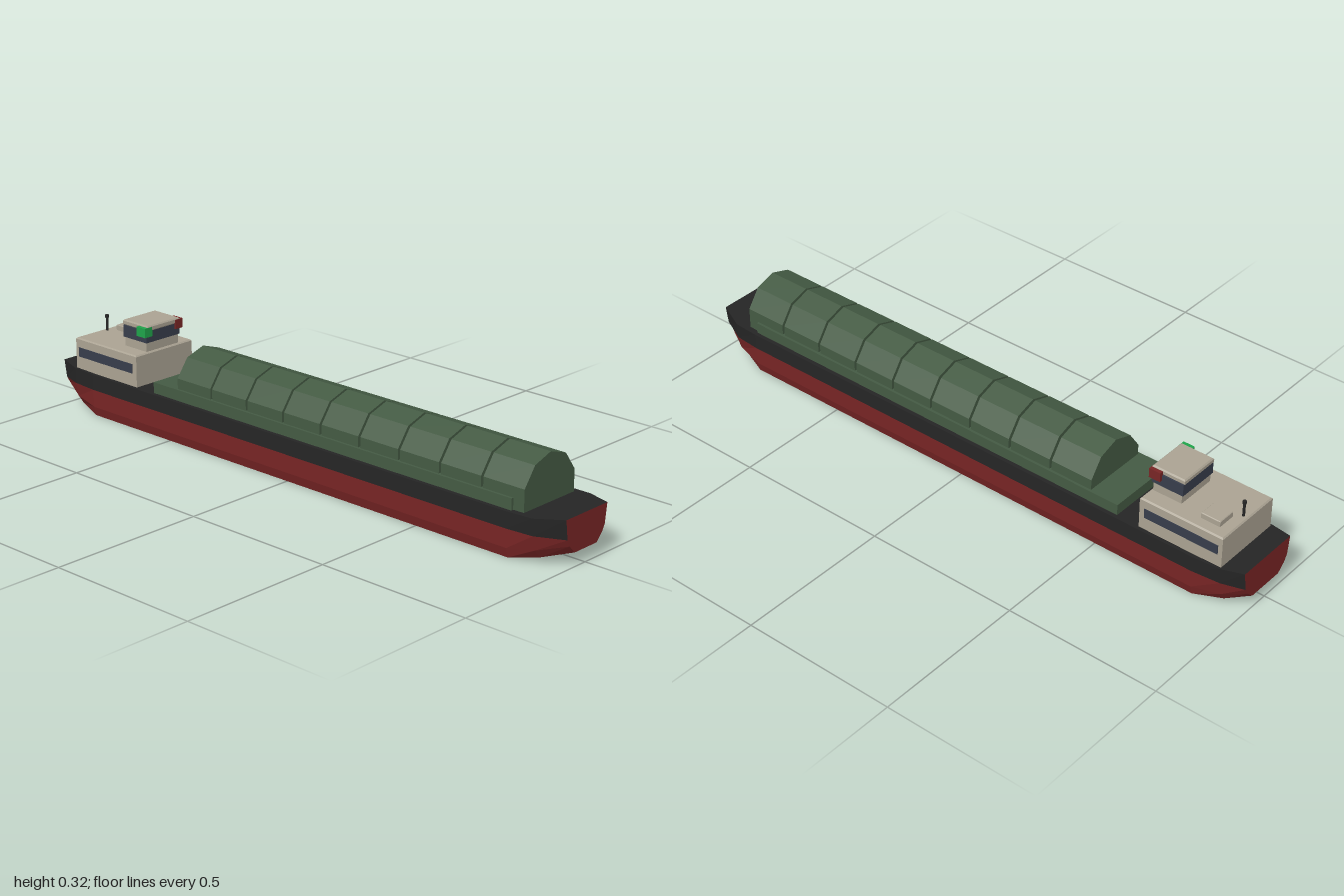
import * as THREE from 'three';

const mat = (name, color) => {
  const m = new THREE.MeshStandardMaterial({ color });
  m.name = name;
  return m;
};

export function createModel() {
  const ship = new THREE.Group();
  ship.name = 'cargoBarge';

  const red = mat('hull red', 0x782525);
  const black = mat('deck black', 0x252525);
  const green = mat('hatch green', 0x445a43);
  const beige = mat('house beige', 0xaaa292);
  const glass = mat('window dark blue', 0x373d4b);
  const signal = mat('signal green', 0x1fa34a);

  const add = (name, geometry, material, x = 0, y = 0, z = 0, parent = ship) => {
    const mesh = new THREE.Mesh(geometry, material);
    mesh.name = name;
    mesh.position.set(x, y, z);
    parent.add(mesh);
    return mesh;
  };

  // Box given by its ranges
  const box = (name, material, x0, x1, y0, y1, z0, z1, parent) =>
    add(name, new THREE.BoxGeometry(x1 - x0, y1 - y0, z1 - z0), material,
      (x0 + x1) / 2, (y0 + y1) / 2, (z0 + z1) / 2, parent);

  // Upright block with small chamfered edges, given by its ranges
  const block = (name, material, x0, x1, y0, y1, z0, z1, b, parent) => {
    const w = (x1 - x0) / 2 - b, d = (z1 - z0) / 2 - b;
    const shape = new THREE.Shape([[-w, -d], [w, -d], [w, d], [-w, d]].map(p => new THREE.Vector2(...p)));
    const geo = new THREE.ExtrudeGeometry(shape, {
      depth: y1 - y0 - 2 * b, bevelEnabled: true, bevelSize: b, bevelThickness: b, bevelSegments: 1,
    });
    geo.rotateX(-Math.PI / 2);
    return add(name, geo, material, (x0 + x1) / 2, y0 + b, (z0 + z1) / 2, parent);
  };

  // Faceted skin through open sections ordered by rising z
  const loft = (sections) => {
    const pos = [];
    for (let i = 0; i < sections.length - 1; i++) {
      const s = sections[i], t = sections[i + 1];
      for (let j = 0; j < s.length - 1; j++) {
        pos.push(...s[j], ...s[j + 1], ...t[j], ...s[j + 1], ...t[j + 1], ...t[j]);
      }
    }
    const geo = new THREE.BufferGeometry();
    geo.setAttribute('position', new THREE.Float32BufferAttribute(pos, 3));
    geo.computeVertexNormals();
    return geo;
  };

  // Hull stations: z, then half-section points from bottom to rail
  const stations = [
    [-1.0, [[0.062, 0.042], [0.088, 0.066], [0.1, 0.087], [0.108, 0.147]]],
    [-0.93, [[0.095, 0.015], [0.113, 0.042], [0.122, 0.087], [0.125, 0.139]]],
    [-0.84, [[0.12, 0], [0.128, 0.03], [0.13, 0.087], [0.13, 0.137]]],
    [0.83, [[0.12, 0], [0.128, 0.03], [0.13, 0.087], [0.13, 0.137]]],
    [0.915, [[0.092, 0.016], [0.112, 0.042], [0.123, 0.087], [0.127, 0.139]]],
    [1.0, [[0.048, 0.042], [0.071, 0.066], [0.082, 0.087], [0.09, 0.147]]],
  ];
  const hull = new THREE.Group();
  hull.name = 'hull';
  ship.add(hull);
  const lower = stations.map(([z, p]) => [
    ...p.slice(0, 3).reverse().map(([x, y]) => [-x, y, z]),
    ...p.slice(0, 3).map(([x, y]) => [x, y, z]),
  ]);
  const upper = stations.map(([z, p]) => [
    ...p.slice(2).map(([x, y]) => [x, y, z]),
    ...p.slice(2).reverse().map(([x, y]) => [-x, y, z]),
  ]);
  add('lowerHull', loft(lower), red, 0, 0, 0, hull);
  add('upperHullAndDeck', loft(upper), black, 0, 0, 0, hull);

  // Flat bow and stern plates
  for (const [name, [z, p]] of [['sternPlate', stations[0]], ['bowPlate', stations.at(-1)]]) {
    const outline = [...p, ...[...p].reverse().map(([x, y]) => [-x, y])];
    const plate = add(name, new THREE.ShapeGeometry(new THREE.Shape(outline.map(q => new THREE.Vector2(...q)))),
      red, 0, 0, z, hull);
    if (z < 0) plate.rotation.y = Math.PI;
  }

  // Hold coaming and a row of separate peaked hatch covers
  const hold = new THREE.Group();
  hold.name = 'cargoHold';
  ship.add(hold);
  box('coaming', green, -0.117, 0.117, 0.125, 0.172, -0.572, 0.835, hold);
  const half = [[0.109, 0.125], [0.109, 0.205], [0.067, 0.263], [0, 0.285]];
  const coverShape = new THREE.Shape([...half, ...half.slice(0, 3).reverse().map(([x, y]) => [-x, y])]
    .map(p => new THREE.Vector2(...p)));
  const pitch = 0.1503, gap = 0.008;
  const coverGeo = new THREE.ExtrudeGeometry(coverShape, { depth: pitch - gap, bevelEnabled: false });
  for (let i = 0; i < 9; i++) {
    add('hatchCover' + (i + 1), coverGeo, green, 0, 0, 0.872 - (i + 1) * pitch + gap, hold);
  }

  // Deckhouse with side window strips
  const house = new THREE.Group();
  house.name = 'deckhouse';
  ship.add(house);
  block('cabin', beige, -0.118, 0.118, 0.125, 0.239, -0.928, -0.648, 0.004, house);
  for (const s of [-1, 1]) {
    box('sideWindow', glass, s * 0.1185 - 0.002, s * 0.1185 + 0.002, 0.179, 0.209, -0.914, -0.666, house);
  }
  block('roofHatch', beige, 0.022, 0.082, 0.236, 0.257, -0.892, -0.828, 0.002, house);

  // Wheelhouse with a window band all round
  block('wheelhouseBase', beige, -0.067, 0.067, 0.236, 0.27, -0.752, -0.655, 0.002, house);
  box('wheelhouseWindows', glass, -0.07, 0.07, 0.268, 0.306, -0.757, -0.652, house);
  block('wheelhouseRoof', beige, -0.068, 0.068, 0.305, 0.323, -0.76, -0.648, 0.004, house);

  // Navigation lights
  box('rightSignalLight', signal, -0.08, -0.049, 0.288, 0.318, -0.685, -0.647, house);
  box('leftSignalLight', red, 0.049, 0.08, 0.288, 0.318, -0.685, -0.647, house);

  // Stern mast with a small lamp
  add('mast', new THREE.CylinderGeometry(0.004, 0.004, 0.046, 10), black, 0, 0.26, -0.912, house);
  add('mastLamp', new THREE.CylinderGeometry(0.006, 0.006, 0.009, 10), black, 0, 0.286, -0.912, house);

  return ship;
}
